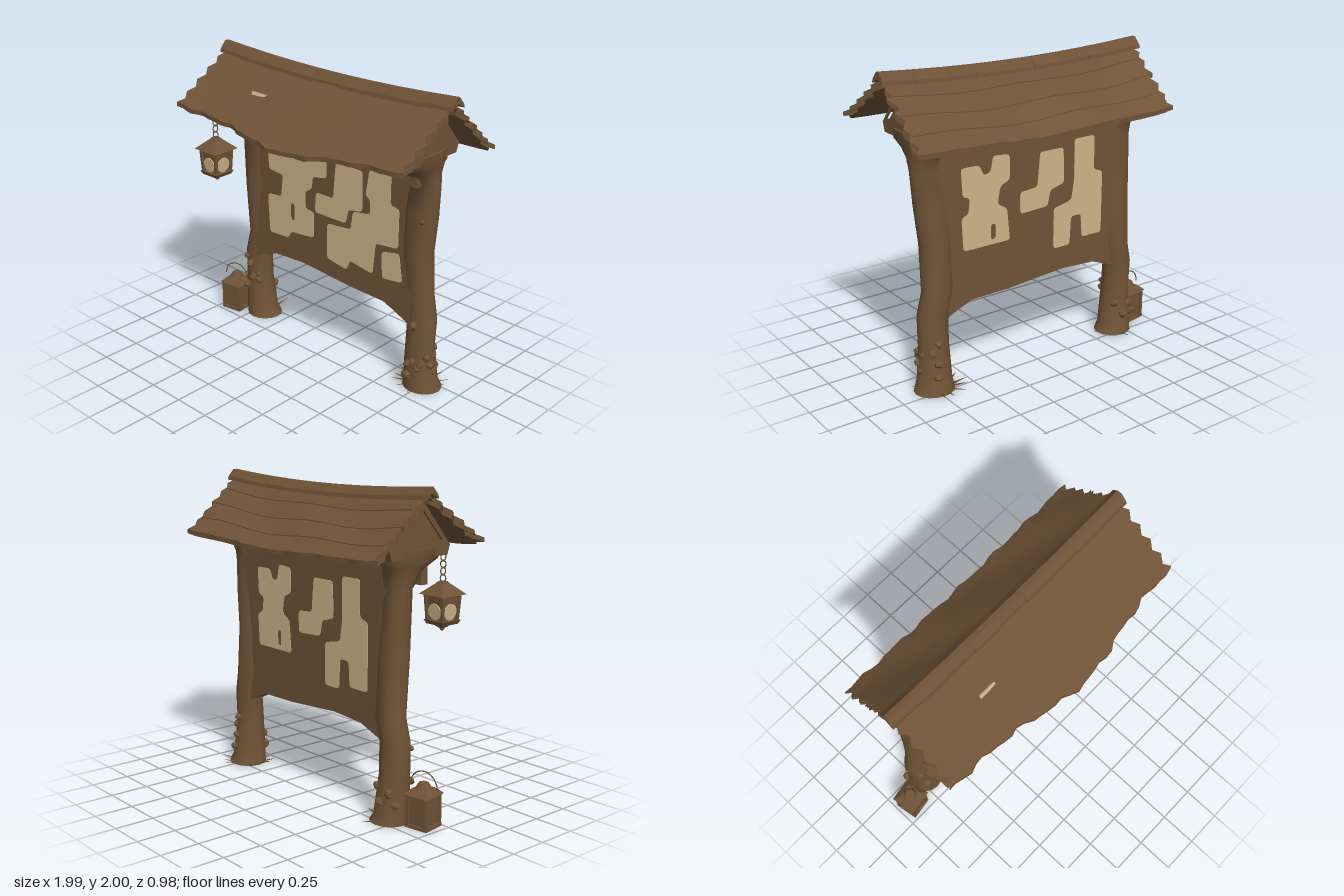
import * as THREE from 'three';
import { toCreasedNormals } from 'three/addons/utils/BufferGeometryUtils.js';

const mat = (name, color) => Object.assign(new THREE.MeshStandardMaterial({ color }), { name });
const wood = mat('brown wood', 0x6f5337);
const paper = mat('parchment', 0xceb48a);

function add(parent, name, geo, material = wood, pos = [0, 0, 0], rot = [0, 0, 0]) {
  const m = new THREE.Mesh(geo, material);
  m.name = name;
  m.position.set(...pos);
  m.rotation.set(...rot);
  parent.add(m);
  return m;
}
const box = (w, h, d) => new THREE.BoxGeometry(w, h, d);

// Moves every vertex by a rule, then rebuilds the normals.
function warp(geo, rule, crease = 0.7) {
  const p = geo.attributes.position;
  for (let i = 0; i < p.count; i++) p.setXYZ(i, ...rule(p.getX(i), p.getY(i), p.getZ(i)));
  return toCreasedNormals(geo, crease);
}

// Trunk from rings of [y, centre x, centre z, radius x, radius z], stretched towards the board beside it.
function trunk(rings) {
  const n = rings.length - 1;
  return warp(new THREE.CylinderGeometry(1, 1, 1, 16, n), (x, y, z) => {
    const [h, cx, cz, rx, rz] = rings[Math.round((y + 0.5) * n)];
    const stretch = h > 0.6 && h < 1.5 && x * cx < 0 ? 1.4 : 1;
    return [cx + x * rx * stretch, h, cz + z * rz];
  }, 1);
}

const outline = pts => new THREE.Shape(pts.map(p => new THREE.Vector2(...p)));
const extrude = (shape, depth) => new THREE.ExtrudeGeometry(shape, { depth, bevelEnabled: false });

// Polygon with softened corners.
function softShape(pts, Kind = THREE.Shape) {
  const s = new Kind(), n = pts.length, r = 0.025;
  pts.forEach((p, i) => {
    const toward = q => {
      const d = Math.hypot(q[0] - p[0], q[1] - p[1]), t = Math.min(0.5, r / d);
      return [p[0] + (q[0] - p[0]) * t, p[1] + (q[1] - p[1]) * t];
    };
    const a = toward(pts[(i + n - 1) % n]), b = toward(pts[(i + 1) % n]);
    if (i) s.lineTo(...a); else s.moveTo(...a);
    s.quadraticCurveTo(...p, ...b);
  });
  s.closePath();
  return s;
}

// Roof surface: side +1 front, -1 back; v runs from ridge to eave.
const ridge = x => 1.925 + 0.042 * x * x;
function roofPoint(side, x, v) {
  const bulge = side > 0 ? 0.105 * Math.exp(-(((x - 0.12) / 0.42) ** 2)) : 0;
  const ragged = v > 0.99 ? (side > 0 ? 0.9 : 0.6) * (0.012 * Math.sin(x * 23) + 0.008 * Math.sin(x * 41)) : 0;
  const lump = 0.011 * Math.sin(x * 7 + v * 4) * Math.sin(v * 2.6);
  const drop = (side > 0 ? 0.285 + bulge * 0.15 : 0.345) * (1.17 * v - 0.17 * v * v);
  const run = (side > 0 ? 0.455 + bulge : 0.4) * v + ragged;
  return [x, ridge(x) - drop + lump, -0.08 + side * run];
}
function roofBoard(side, v0, v1, low0, low1, thick, rows, shift = 0) {
  return warp(new THREE.BoxGeometry(1, 1, 1, 36, 1, rows), (x, y, z) => {
    const t = 0.5 + side * z, v = v0 + (v1 - v0) * t;
    const tooth = Math.abs(x) > 0.49 ? 0.035 * ((Math.round(t * rows) + shift) % 2) : 0;
    const p = roofPoint(side, 0.052 + x * 1.87 - Math.sign(x) * tooth, v);
    p[1] += low0 + (low1 - low0) * t + (y - 0.5) * thick;
    return p;
  });
}

function hangingLantern() {
  const g = new THREE.Group();
  const square = (r1, r2, h, y, name) =>
    add(g, name, toCreasedNormals(new THREE.CylinderGeometry(r1 * 1.414, r2 * 1.414, h, 4), 0.3), wood, [0, y, 0], [0, Math.PI / 4, 0]);
  square(0.035, 0.1, 0.06, 1.365, 'lanternRoof');
  square(0.02, 0.038, 0.025, 1.4, 'lanternCap');
  square(0.07, 0.055, 0.16, 1.26, 'lanternBody');
  square(0.078, 0.066, 0.025, 1.17, 'lanternBase');
  square(0.05, 0.015, 0.03, 1.148, 'lanternFoot');
  add(g, 'lanternFinial', new THREE.SphereGeometry(0.015, 8, 6), wood, [0, 1.13, 0]);
  for (let i = 0; i < 4; i++) {
    const side = new THREE.Group();
    side.rotation.y = i * Math.PI / 2;
    add(side, 'lanternPost', box(0.018, 0.17, 0.018), wood, [0.066, 1.26, 0.066], [0.06, 0, -0.06]);
    add(side, 'lanternGlow', new THREE.CylinderGeometry(0.05, 0.05, 0.008, 20), paper, [0, 1.235, 0.064], [Math.PI / 2 + 0.09, 0, 0]);
    g.add(side);
  }
  for (let i = 0; i < 5; i++) {
    const link = add(g, 'chainLink', new THREE.TorusGeometry(0.018, 0.004, 6, 12), wood, [0, 1.43 + i * 0.042, 0], [0, (i % 2) * 1.1 + 0.3, 0]);
    link.scale.y = 1.25;
  }
  g.name = 'hangingLantern';
  g.position.set(-0.74, 0, 0.18);
  return g;
}

function groundLantern() {
  const g = new THREE.Group();
  add(g, 'lanternBase', box(0.155, 0.02, 0.155), wood, [0, 0.012, 0]);
  add(g, 'lanternBody', box(0.13, 0.18, 0.13), wood, [0, 0.11, 0]);
  for (const x of [-1, 1]) for (const z of [-1, 1])
    add(g, 'lanternPost', box(0.022, 0.19, 0.022), wood, [x * 0.065, 0.11, z * 0.065]);
  add(g, 'lanternLid', toCreasedNormals(new THREE.CylinderGeometry(0.07, 0.122, 0.035, 4), 0.3), wood, [0, 0.222, 0], [0, Math.PI / 4, 0]);
  add(g, 'lanternCap', new THREE.CylinderGeometry(0.03, 0.05, 0.035, 10), wood, [0, 0.255, 0]);
  add(g, 'lanternHandle', new THREE.TorusGeometry(0.096, 0.004, 6, 24, Math.PI), wood, [0, 0.245, 0]);
  g.name = 'groundLantern';
  g.position.set(-0.895, 0, -0.105);
  g.rotation.y = 0.16;
  return g;
}

export function createModel() {
  const g = new THREE.Group();
  g.name = 'noticeBoard';

  // Gnarled posts with a neck and a wide head under the roof
  add(g, 'rightPost', trunk([[0, -0.69, -0.185, 0.125, 0.12], [0.05, -0.705, -0.18, 0.108, 0.11], [0.3, -0.715, -0.17, 0.095, 0.09],
    [0.5, -0.72, -0.175, 0.1, 0.083], [0.64, -0.7, -0.18, 0.082, 0.082], [1, -0.7, -0.16, 0.085, 0.084], [1.4, -0.71, -0.148, 0.08, 0.077],
    [1.47, -0.715, -0.13, 0.085, 0.11], [1.53, -0.72, -0.105, 0.095, 0.165], [1.56, -0.72, -0.085, 0.105, 0.215], [1.63, -0.72, -0.08, 0.11, 0.235]]));
  add(g, 'leftPost', trunk([[0, 0.748, -0.19, 0.132, 0.12], [0.06, 0.74, -0.18, 0.112, 0.11], [0.3, 0.735, -0.17, 0.098, 0.088],
    [0.5, 0.74, -0.175, 0.1, 0.083], [0.65, 0.72, -0.18, 0.085, 0.08], [0.95, 0.715, -0.16, 0.087, 0.085], [1.2, 0.735, -0.155, 0.096, 0.08],
    [1.4, 0.755, -0.148, 0.088, 0.077], [1.47, 0.75, -0.13, 0.088, 0.11], [1.53, 0.75, -0.105, 0.095, 0.165], [1.56, 0.75, -0.085, 0.105, 0.215],
    [1.63, 0.75, -0.08, 0.11, 0.235]]));

  // Board with sagging edges that flow into the posts
  add(g, 'board', extrude(outline([[-0.72, 0.46], [-0.62, 0.505], [-0.55, 0.53], [-0.47, 0.56], [-0.22, 0.575], [0.2, 0.545], [0.48, 0.54],
    [0.56, 0.51], [0.64, 0.475], [0.74, 0.43], [0.74, 1.585], [0.4, 1.565], [0, 1.555], [-0.4, 1.56], [-0.72, 1.58]]), 0.122), wood, [0, 0, -0.222]);

  // Weathered notices on both faces
  const frontHole = [[-0.33, 0.86], [-0.295, 0.86], [-0.295, 0.98], [-0.33, 0.98]];
  const backHole = [[0.34, 0.9], [0.305, 0.9], [0.305, 1.0], [0.34, 1.0]];
  const frontNotices = [
    [[-0.54, 1.34], [-0.36, 1.35], [-0.33, 1.3], [-0.19, 1.3], [-0.165, 1.4], [-0.01, 1.4], [-0.01, 1.24], [-0.13, 1.22], [-0.14, 1.13],
      [-0.195, 1.1], [-0.2, 0.98], [-0.12, 0.97], [-0.12, 0.79], [-0.33, 0.77], [-0.35, 0.72], [-0.53, 0.71], [-0.545, 0.99], [-0.42, 1.0],
      [-0.4, 1.16], [-0.53, 1.17]],
    [[0.07, 1.37], [0.29, 1.37], [0.295, 1.1], [0.18, 1.08], [0.16, 0.98], [-0.11, 0.98], [-0.1, 1.12], [0.05, 1.12]],
    [[0.35, 1.4], [0.52, 1.42], [0.52, 1.21], [0.59, 1.2], [0.59, 0.94], [0.41, 0.92], [0.39, 0.7], [0.2, 0.73], [0.17, 0.655],
      [0, 0.685], [0, 0.93], [0.2, 0.95], [0.22, 1.08], [0.36, 1.1], [0.36, 1.2], [0.32, 1.22]],
    [[0.46, 0.88], [0.6, 0.91], [0.63, 0.72], [0.47, 0.7]]];
  const backNotices = [
    [[0.55, 1.39], [0.42, 1.39], [0.39, 1.32], [0.34, 1.33], [0.32, 1.43], [0.2, 1.42], [0.2, 1.26], [0.27, 1.23], [0.29, 1.12],
      [0.22, 1.08], [0.2, 0.87], [0.54, 0.87], [0.55, 1.08], [0.5, 1.1], [0.49, 1.2], [0.54, 1.21]],
    [[-0.03, 1.39], [-0.21, 1.39], [-0.22, 1.16], [-0.11, 1.13], [-0.09, 1.03], [0.12, 1.02], [0.12, 1.16], [-0.01, 1.17]],
    [[-0.3, 1.43], [-0.46, 1.43], [-0.46, 1.2], [-0.53, 1.18], [-0.53, 0.76], [-0.37, 0.76], [-0.36, 0.92], [-0.28, 0.92], [-0.27, 0.73],
      [-0.14, 0.73], [-0.14, 1.0], [-0.28, 1.03], [-0.3, 1.16]]];
  const post = (name, list, holePts, z) => list.forEach((pts, i) => {
    const s = softShape(pts);
    if (i === 0) s.holes.push(softShape(holePts, THREE.Path));
    add(g, name, extrude(s, 0.004), paper, [0, 0, z]);
  });
  post('frontNotice', frontNotices, frontHole, -0.101);
  post('backNotice', backNotices, backHole, -0.225);

  // Gables: a triangular frame with two recessed panels
  for (const x of [-0.74, 0.77]) {
    const frame = outline([[0.16, 1.64], [0.14, 1.58], [-0.3, 1.58], [-0.32, 1.64], [-0.1, 1.9], [-0.06, 1.9]]);
    frame.holes.push(outline([[0.1, 1.67], [-0.06, 1.69], [-0.06, 1.85]]), outline([[-0.1, 1.85], [-0.1, 1.69], [-0.26, 1.65]]));
    add(g, 'gableFrame', extrude(frame, 0.14), wood, [x + 0.07, 0, 0], [0, -Math.PI / 2, 0]);
    add(g, 'gablePanel', extrude(outline([[0.14, 1.63], [-0.08, 1.88], [-0.3, 1.63]]), 0.1), wood, [x + 0.05, 0, 0], [0, -Math.PI / 2, 0]);
    add(g, 'bracket', box(0.07, 0.14, 0.05), wood, [x - 0.02, 1.49, -0.03]);
  }
  for (const x of [-0.45, 0.23]) add(g, 'tieBeam', box(0.06, 0.05, 0.48), wood, [x, 1.6, -0.09]);
  add(g, 'ridgeBeam', box(1.6, 0.06, 0.05), wood, [0.02, 1.87, -0.08]);

  // Roof: a warped front sheet over an under layer, and lapped boards behind
  add(g, 'frontRoof', roofBoard(1, 0, 1, 0, 0, 0.028, 10));
  add(g, 'frontUnderRoof', roofBoard(1, 0.06, 0.93, -0.028, -0.03, 0.024, 8, 1));
  for (let i = 0; i < 4; i++)
    add(g, 'backRoofBoard', roofBoard(-1, Math.max(0, i / 4 - 0.05), (i + 1) / 4, -0.006, 0.001, 0.028, 3, i));
  add(g, 'backUnderRoof', roofBoard(-1, 0.1, 0.95, -0.03, -0.028, 0.024, 8, 1));

  // Folded ridge caps, alternately a little wider
  for (let i = 0; i < 9; i++) {
    const x = -0.785 + i * 0.209, w = 0.058 + 0.006 * (i % 2);
    const fold = outline([[-w, -0.04], [-w * 0.9, -0.016], [-0.014, 0.03], [0.014, 0.03], [w * 0.9, -0.016], [w, -0.04], [0, -0.01]]);
    const cap = new THREE.Group();
    add(cap, 'fold', extrude(fold, 0.213), wood, [-0.1065, 0, 0], [0, Math.PI / 2, 0]);
    cap.name = 'ridgeCap';
    cap.position.set(x, ridge(x), -0.08);
    cap.rotation.z = 0.084 * x;
    g.add(cap);
  }
  const scrap = roofPoint(1, -0.35, 0.47);
  add(g, 'roofScrap', box(0.12, 0.022, 0.008), paper, [scrap[0], scrap[1] + 0.002, scrap[2] + 0.003], [-0.5, 0, 0]);

  g.add(hangingLantern(), groundLantern());

  // Leaf and fungus buds: [x, y, z, size]
  const buds = [[-0.77, 0.45, -0.1, 0.026], [-0.72, 0.41, -0.08, 0.03], [-0.69, 0.31, -0.08, 0.03], [-0.66, 0.29, -0.1, 0.028],
    [-0.75, 0.24, -0.08, 0.034], [-0.66, 0.34, -0.1, 0.024], [-0.76, 0.2, -0.26, 0.034],
    [-0.7, 0.14, -0.27, 0.034], [-0.65, 0.22, -0.25, 0.03], [-0.8, 0.13, -0.24, 0.032], [0.735, 0.465, -0.09, 0.038], [0.71, 0.11, -0.07, 0.036],
    [0.71, 0.19, -0.08, 0.032], [0.75, 0.22, -0.08, 0.026], [0.78, 0.17, -0.09, 0.028], [0.82, 0.25, -0.13, 0.032], [0.83, 0.19, -0.15, 0.034],
    [0.83, 0.14, -0.18, 0.032], [0.82, 0.25, -0.19, 0.028], [0.8, 0.2, -0.1, 0.03], [0.79, 0.27, -0.25, 0.026], [0.75, 0.33, -0.26, 0.028],
    [0.76, 0.2, -0.27, 0.03], [0.77, 0.12, -0.28, 0.032], [0.775, 1.18, -0.09, 0.022], [0.8, 1.26, -0.11, 0.016]];
  buds.forEach(([x, y, z, s], i) => {
    const bud = add(g, 'bud', toCreasedNormals(new THREE.SphereGeometry(s, 6, 4), 0.3), wood, [x, y, z], [0.4, i * 1.3, i * 0.7]);
    bud.scale.y = 0.7;
  });

  // Grass blades around the feet
  for (const [cx, count] of [[0.71, 14], [-0.68, 3]]) for (let i = 0; i < count; i++) {
    const a = i * 2.4, len = 0.08 + 0.03 * (i % 3);
    const blade = add(g, 'grassBlade', new THREE.ConeGeometry(0.014, len, 4), wood,
      [cx + Math.cos(a) * 0.13, 0.02, -0.2 + Math.sin(a) * 0.13], [0, -a, -1.35]);
    blade.scale.x = 0.5;
  }
  return g;
}
